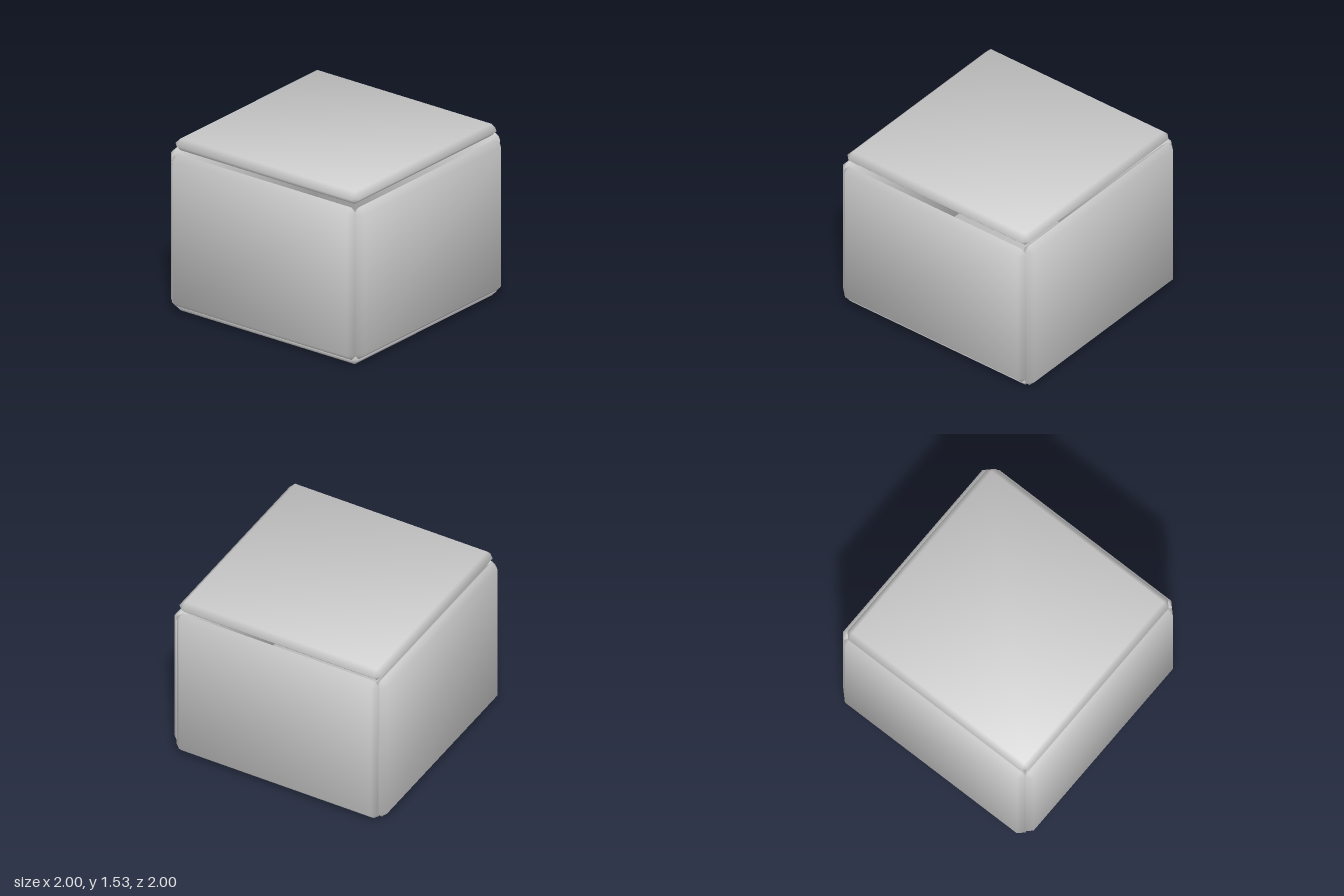
import * as THREE from 'three';

const W = 0.0525; // bevel width, also half of the panel thickness
const CORNERS = [[1, 1], [-1, 1], [-1, -1], [1, -1]];

// Panel in the XY plane: square faces, 45 degree bevels meeting in a cut-corner rim
function panelGeometry(a, b) {
  const pos = [], nor = [], index = [];
  const add = (x, y, z, nx, ny, nz) => {
    const n = new THREE.Vector3(nx, ny, nz).normalize();
    pos.push(x, y, z);
    nor.push(n.x, n.y, n.z);
  };
  // front face corners 0-3, back face corners 4-7
  for (const s of [1, -1])
    for (const [x, y] of CORNERS) add(x * (a - W), y * (b - W), s * W, 0.39 * x, 0.39 * y, s);
  // rim: two points per corner, 8-15
  CORNERS.forEach(([x, y], i) => {
    const onSide = () => add(x * a, y * (b - W), 0, x, 0.35 * y, 0);
    const onTop = () => add(x * (a - W), y * b, 0, 0.35 * x, y, 0);
    if (i % 2) { onTop(); onSide(); } else { onSide(); onTop(); }
  });
  index.push(0, 1, 2, 0, 2, 3, 4, 6, 5, 4, 7, 6);
  for (let i = 0; i < 4; i++) {
    const j = (i + 1) % 4, A = 8 + 2 * i, B = A + 1, A2 = 8 + 2 * j;
    index.push(A, B, i, B, A, i + 4); // corner cuts
    index.push(B, A2, j, B, j, i); // front bevel
    index.push(A2, B, i + 4, A2, i + 4, j + 4); // back bevel
  }
  const g = new THREE.BufferGeometry();
  g.setAttribute('position', new THREE.Float32BufferAttribute(pos, 3));
  g.setAttribute('normal', new THREE.Float32BufferAttribute(nor, 3));
  g.setIndex(index);
  return g;
}

export function createModel() {
  const group = new THREE.Group();
  const material = new THREE.MeshStandardMaterial({ color: 0xcccccc });
  const H = 0.955, D = 1 - W; // panel half width, distance of wall centres

  function panel(name, halfHeight, position, rx, ry) {
    const mesh = new THREE.Mesh(panelGeometry(H, halfHeight), material);
    mesh.name = name;
    mesh.position.set(...position);
    mesh.rotation.set(rx, ry, 0);
    group.add(mesh);
  }

  // Floor and lid
  panel('floor', H, [0, W, 0], Math.PI / 2, 0);
  panel('lid', H, [0, 1.473, 0], -Math.PI / 2, 0);

  // Walls: the back and right ones stand slightly taller
  panel('frontWall', 0.678, [0, 0.727, D], 0, 0);
  panel('leftWall', 0.675, [D, 0.728, 0], 0, Math.PI / 2);
  panel('backWall', 0.71, [0, 0.727, -D], 0, Math.PI);
  panel('rightWall', 0.705, [-D, 0.727, 0], 0, -Math.PI / 2);

  return group;
}
